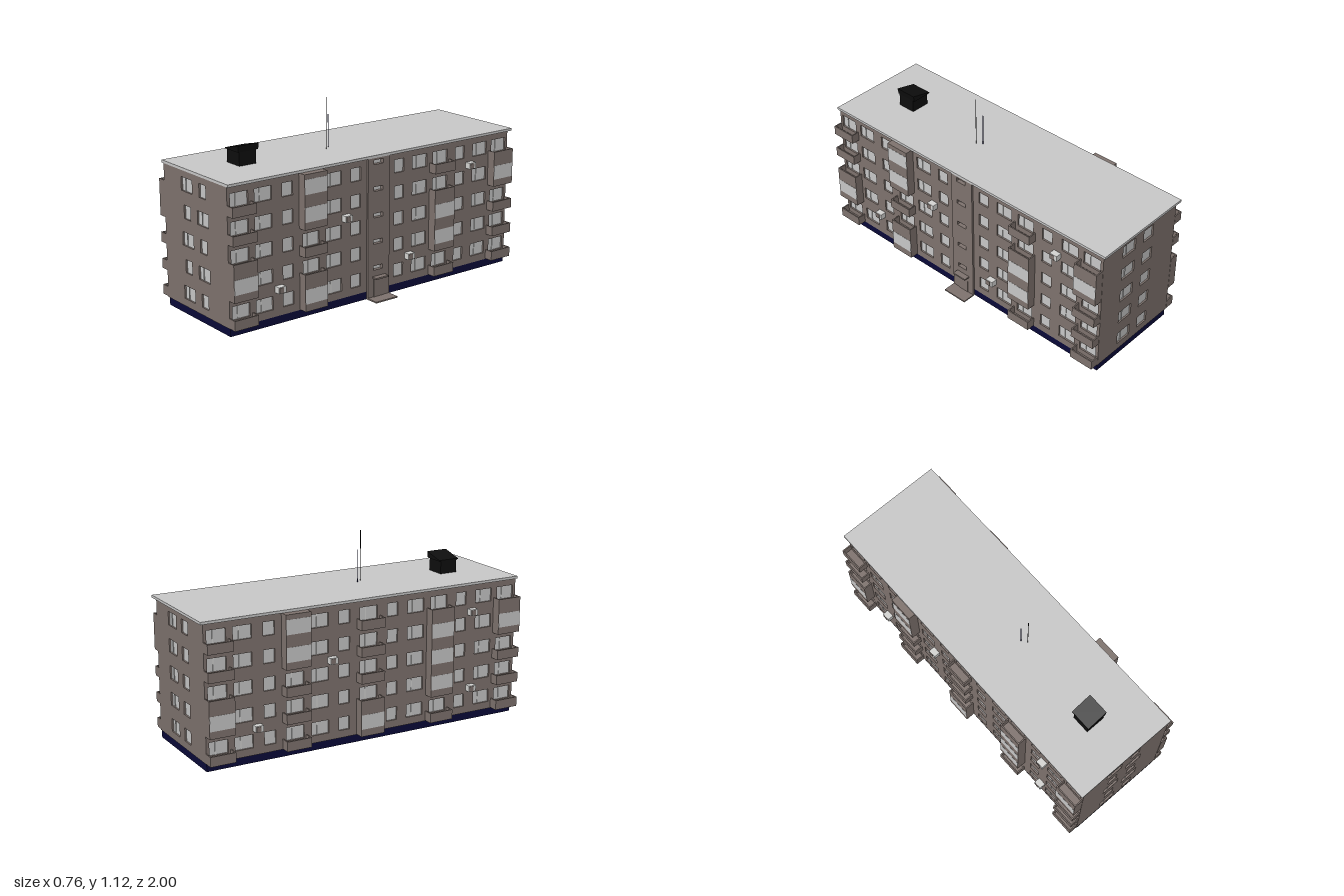
import * as THREE from 'three';

const mat = (name, color) => {
  const m = new THREE.MeshStandardMaterial({ color });
  m.name = name;
  return m;
};

export function createModel() {
  const wall = mat('taupe wall', 0x80746f);
  const pale = mat('pale roof and glass', 0xcacaca);
  const white = mat('off white casing', 0xd6d6d4);
  const navy = mat('navy plinth', 0x0a0a3a);
  const black = mat('black metal', 0x0e0e0e);

  const model = new THREE.Group();
  model.name = 'apartmentBlock';

  const X0 = -0.325, X1 = 0.288, CX = (X0 + X1) / 2, CZ = 0.008, HALF = 0.9885;
  const BASE = 0.045, TOP = 0.812, T = 0.02, PITCH = 0.1525;

  const add = (parent, name, geo, material, x = 0, y = 0, z = 0) => {
    const m = new THREE.Mesh(geo, material);
    m.name = name;
    m.position.set(x, y, z);
    parent.add(m);
    return m;
  };
  // box given by its limits
  const box = (parent, name, material, x0, x1, y0, y1, z0, z1) =>
    add(parent, name, new THREE.BoxGeometry(x1 - x0, y1 - y0, z1 - z0), material,
      (x0 + x1) / 2, (y0 + y1) / 2, (z0 + z1) / 2);
  const rect = (Type, x0, x1, y0, y1) => {
    const s = new Type();
    s.moveTo(x0, y0); s.lineTo(x1, y0); s.lineTo(x1, y1); s.lineTo(x0, y1); s.closePath();
    return s;
  };
  // upright slab with rectangular openings
  const slab = (parent, name, x0, x1, y0, y1, holes, depth, z) => {
    const s = rect(THREE.Shape, x0, x1, y0, y1);
    holes.forEach(h => s.holes.push(rect(THREE.Path, ...h)));
    add(parent, name, new THREE.ExtrudeGeometry(s, { depth, bevelEnabled: false }), wall, 0, 0, z);
  };

  // each facade lies in its own xy plane with +z pointing outward
  const facade = (name, x, z, turn) => {
    const g = new THREE.Group();
    g.name = name;
    g.position.set(x, 0, z);
    g.rotation.y = turn;
    model.add(g);
    return g;
  };
  const glaze = (g, [a, b, y0, y1]) => {
    box(g, 'windowGlass', pale, a, b, y0, y1, -0.014, -0.010);
    if (b - a > 0.09) {
      const m = a + (b - a) * 0.34;
      box(g, 'windowMullion', white, m - 0.002, m + 0.002, y0, y1, -0.010, -0.006);
    }
  };
  const rows = (spans, i) => spans.map(([a, b]) =>
    [a, b, 0.088 + PITCH * i, 0.164 + PITCH * i]);

  // open balcony, or one closed in with a glass band
  const balcony = (g, u, floor, depth, closed) => {
    const b = new THREE.Group();
    b.name = closed ? 'glazedBalcony' : 'openBalcony';
    b.position.set(u, 0.048 + PITCH * floor, 0);
    g.add(b);
    const w = 0.075, t = 0.007, h = closed ? PITCH : 0.056;
    box(b, 'balconyFloor', wall, -w, w, 0, 0.008, 0, depth);
    for (const s of [-1, 1])
      box(b, 'balconySide', wall, s * (w - t / 2) - t / 2, s * (w - t / 2) + t / 2, 0.008, h, 0, depth);
    box(b, 'balconyParapet', wall, -w + t, w - t, 0.008, closed ? 0.042 : h, depth - t, depth);
    if (closed) {
      box(b, 'balconyLintel', wall, -w + t, w - t, 0.125, h, depth - t, depth);
      box(b, 'balconyRoof', wall, -w + t, w - t, h - 0.008, h, 0, depth - t);
      box(b, 'balconyGlass', pale, -w + 0.002, w - 0.002, 0.042, 0.125, depth - 0.004, depth + 0.001);
    }
  };

  // cooling unit with a dark grille
  const cooler = (g, u, y) => {
    box(g, 'coolerCasing', white, u - 0.024, u + 0.024, y - 0.018, y + 0.018, 0, 0.036);
    box(g, 'coolerGrille', wall, u - 0.02, u + 0.008, y - 0.014, y + 0.014, 0.036, 0.038);
  };

  // long facades
  const halfSpans = [[0.12, 0.188], [0.252, 0.358], [0.405, 0.513], [0.577, 0.645], [0.712, 0.82], [0.86, 0.97]];
  const spans = [...halfSpans, ...halfSpans.map(([a, b]) => [-b, -a])];
  const stairHoles = [0, 1, 2, 3, 4].map(i => [-0.037, 0.028, 0.165 + PITCH * i, 0.19 + PITCH * i]);
  const sides = [
    { name: 'rightFacade', x: X1, turn: Math.PI / 2, depth: 0.052, stairs: true,
      columns: [[-0.915, [1]], [-0.462, [0, 3, 4]], [0.455, [1, 2]], [0.912, [3]]],
      coolers: [[-0.675, 0.2], [-0.227, 0.507], [0.223, 0.2], [0.683, 0.655]] },
    { name: 'leftFacade', x: X0, turn: -Math.PI / 2, depth: 0.055, stairs: false,
      columns: [[-0.915, [1]], [-0.462, [3, 4]], [0, [0]], [0.455, [1, 2, 3]], [0.912, [3]]],
      coolers: [[-0.69, 0.2], [-0.235, 0.507], [0.68, 0.2], [0.68, 0.655]] },
  ];
  for (const s of sides) {
    const g = facade(s.name, s.x, CZ, s.turn);
    const holes = s.stairs ? [...stairHoles] : [];
    const list = s.stairs ? spans : [...spans, [-0.055, 0.055]];
    for (let i = 0; i < 5; i++) holes.push(...rows(list, i));
    slab(g, 'sideWall', -HALF, HALF, BASE, TOP, holes, T, -T);
    holes.forEach(h => glaze(g, h));
    for (const [u, closed] of s.columns)
      for (let i = 0; i < 5; i++) balcony(g, u, i, s.depth, closed.includes(i));
    s.coolers.forEach(([u, y]) => cooler(g, u, y));
    if (s.stairs) {
      // stairwell panel with entrance, canopy and step
      slab(g, 'stairwellPanel', -0.077, 0.077, 0, TOP, stairHoles, 0.012, 0);
      box(g, 'entranceDoor', wall, -0.035, 0.035, 0.008, 0.112, 0.012, 0.015);
      box(g, 'entranceCanopy', wall, -0.045, 0.045, 0.12, 0.129, 0.012, 0.047);
      box(g, 'entranceStep', wall, -0.077, 0.077, 0, 0.008, 0.012, 0.087);
    }
  }

  // end facades
  const ends = [
    { name: 'frontFacade', x: 0, z: CZ + HALF, turn: 0, x0: X0 + T, x1: X1 - T,
      even: [[-0.15, -0.043], [0.025, 0.088]], odd: [[-0.128, -0.065], [0.003, 0.11]] },
    { name: 'backFacade', x: 0, z: CZ - HALF, turn: Math.PI, x0: -X1 + T, x1: -X0 - T,
      even: [[-0.125, -0.02], [0.05, 0.13]], odd: [[-0.125, -0.02], [0.05, 0.13]] },
  ];
  for (const e of ends) {
    const g = facade(e.name, e.x, e.z, e.turn);
    const holes = [];
    for (let i = 0; i < 5; i++) holes.push(...rows(i % 2 ? e.odd : e.even, i));
    slab(g, 'endWall', e.x0, e.x1, BASE, TOP, holes, T, -T);
    holes.forEach(h => glaze(g, h));
  }

  // hollow plinth ring
  const ring = rect(THREE.Shape, -0.302, 0.302, -0.984, 0.984);
  ring.holes.push(rect(THREE.Path, -0.26, 0.26, -0.942, 0.942));
  add(model, 'plinth', new THREE.ExtrudeGeometry(ring, { depth: BASE, bevelEnabled: false }),
    navy, CX + 0.003, 0, CZ).rotation.x = -Math.PI / 2;

  // flat roof slab
  box(model, 'roof', pale, -0.34, 0.303, TOP, 0.827, -1, 1);

  // roof hut with a sloping cap
  box(model, 'roofHut', black, -0.078, 0.038, 0.827, 0.906, 0.642, 0.75);
  const cap = new THREE.Shape([[-0.083, 0.903], [0.038, 0.903], [0.045, 0.94], [-0.083, 0.909]]
    .map(p => new THREE.Vector2(...p)));
  add(model, 'roofHutCap', new THREE.ExtrudeGeometry(cap, { depth: 0.13, bevelEnabled: false }),
    black, 0, 0, 0.628);

  // masts
  const mast = (name, material, x, z, top, r) =>
    add(model, name, new THREE.CylinderGeometry(r, r, top - 0.827, 8), material, x, (top + 0.827) / 2, z);
  mast('shortMast', navy, -0.003, 0.127, 1.015, 0.0025);
  mast('tallMast', black, 0.02, 0.158, 1.12, 0.0018);

  return model;
}
